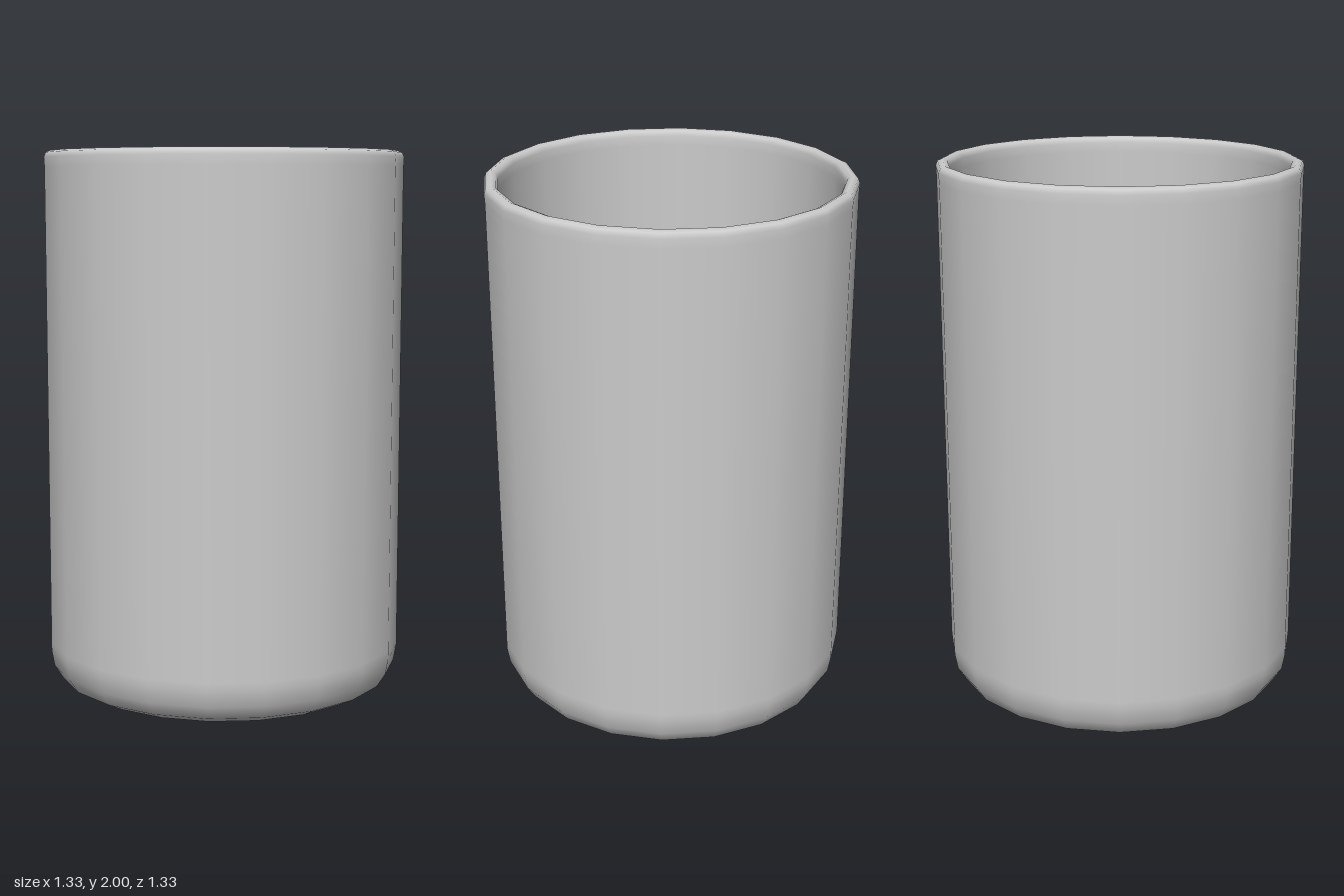
import * as THREE from 'three';

const SIDES = 20;

// Quarter-round corner points, from angle a0 to a1 (radians)
function arc(cx, cy, r, a0, a1, steps) {
  return Array.from({ length: steps + 1 }, (_, i) => {
    const a = a0 + ((a1 - a0) * i) / steps;
    return [cx + r * Math.cos(a), cy + r * Math.sin(a)];
  });
}

export function createModel() {
  const group = new THREE.Group();
  group.name = 'cup';
  const material = new THREE.MeshStandardMaterial({ color: 0xcccccc });

  const addLathe = (name, points) => {
    const profile = points.map(([x, y]) => new THREE.Vector2(x, y));
    const mesh = new THREE.Mesh(new THREE.LatheGeometry(profile, SIDES), material);
    mesh.name = name;
    group.add(mesh);
  };

  // Flat underside
  addLathe('base', [[0, 0], [0.56, 0]]);

  // Rounded foot, outer wall, rolled rim, inner wall and rounded inside floor
  addLathe('body', [
    [0.56, 0], [0.62, 0.03], [0.652, 0.08], [0.663, 0.14],
    [0.663, 0.17], [0.663, 1.94],
    ...arc(0.64, 1.975, 0.025, 0, Math.PI, 4),
    [0.615, 1.94], [0.615, 0.17],
    ...arc(0.525, 0.14, 0.09, 0, -Math.PI / 2, 4),
    [0.5, 0.05], [0, 0.05],
  ]);

  return group;
}
